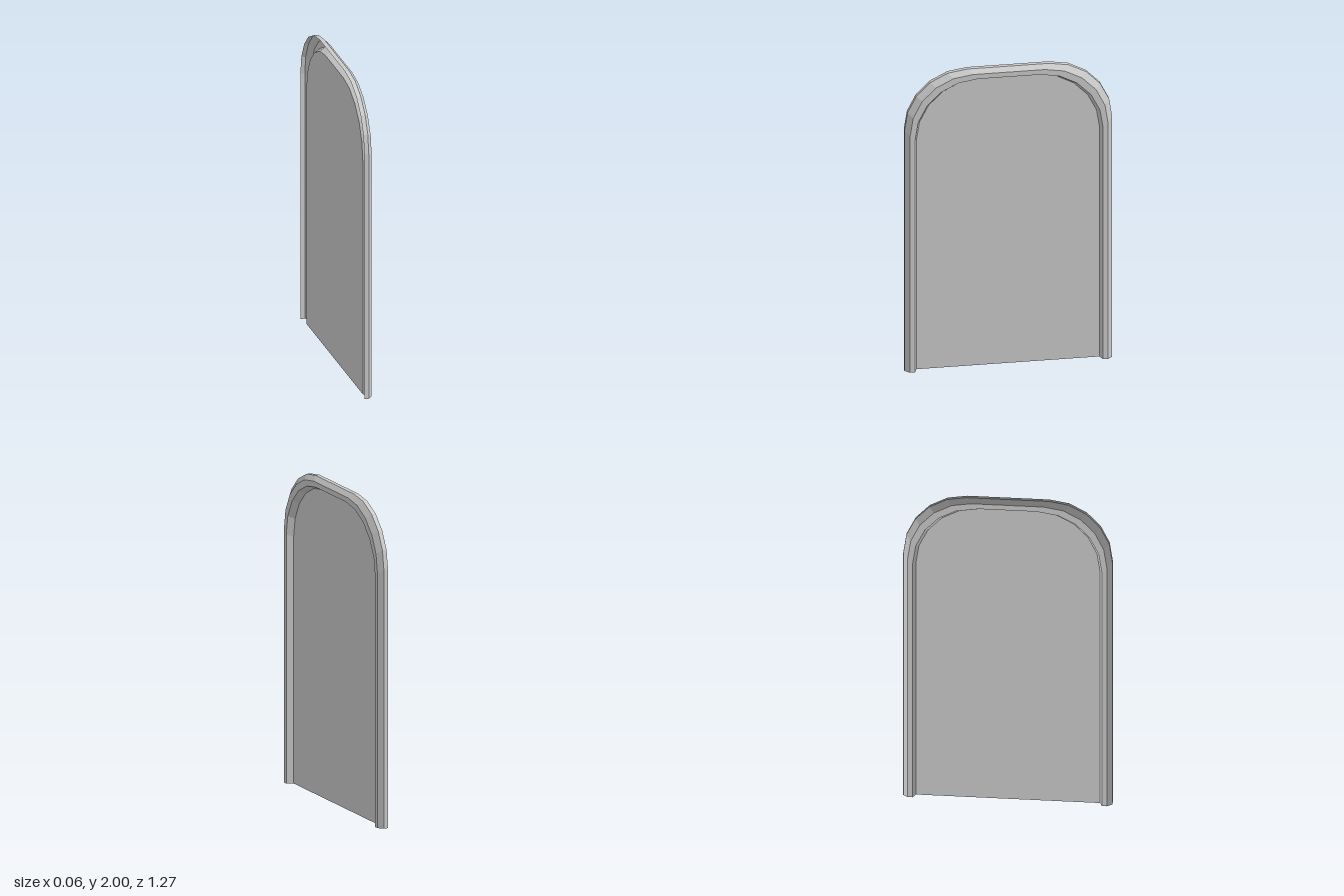
import * as THREE from 'three';

const RADIUS = 0.385; // corner radius shared by every outline
const STEPS = 5;      // facets per rounded corner

// Arched outline from the +z foot, over the top, to the -z foot
function archOutline(halfWidth, top) {
  const side = [[halfWidth, 0]];
  for (let i = 0; i <= STEPS; i++) {
    const a = (i / STEPS) * Math.PI / 2;
    side.push([
      halfWidth - RADIUS + RADIUS * Math.cos(a),
      top - RADIUS + RADIUS * Math.sin(a),
    ]);
  }
  return [...side, ...side.map(([z, y]) => [-z, y]).reverse()];
}

// Open faceted moulding swept through successive outlines
function mouldingGeometry(sections) {
  const rings = sections.map(([x, w, top]) => archOutline(w, top).map(([z, y]) => [x, y, z]));
  const positions = [];
  for (let i = 0; i < rings.length - 1; i++) {
    for (let k = 0; k < rings[i].length - 1; k++) {
      const a = rings[i][k], b = rings[i][k + 1];
      const c = rings[i + 1][k], d = rings[i + 1][k + 1];
      positions.push(...a, ...c, ...b, ...c, ...d, ...b);
    }
  }
  const geometry = new THREE.BufferGeometry();
  geometry.setAttribute('position', new THREE.Float32BufferAttribute(positions, 3));
  geometry.computeVertexNormals();
  return geometry;
}

export function createModel() {
  const group = new THREE.Group();
  group.name = 'archedDoor';
  const material = new THREE.MeshStandardMaterial({
    color: 0xcccccc, flatShading: true, side: THREE.DoubleSide,
  });

  // Section as [x, half width, top]: outer wall, chamfer, flat face, inner step
  const sections = [
    [-0.028, 0.635, 2.0],
    [0, 0.635, 2.0],
    [0.028, 0.605, 1.974],
    [0.028, 0.575, 1.942],
    [-0.014, 0.56, 1.925],
  ];
  const frame = new THREE.Mesh(mouldingGeometry(sections), material);
  frame.name = 'doorFrame';
  group.add(frame);

  // Thin recessed panel filling the inner outline
  const [panelX, panelWidth, panelTop] = sections[sections.length - 1];
  const shape = new THREE.Shape(
    archOutline(panelWidth, panelTop).map(([z, y]) => new THREE.Vector2(z, y)));
  const panel = new THREE.Mesh(new THREE.ShapeGeometry(shape).rotateY(Math.PI / 2), material);
  panel.position.x = panelX;
  panel.name = 'doorPanel';
  group.add(panel);

  return group;
}
